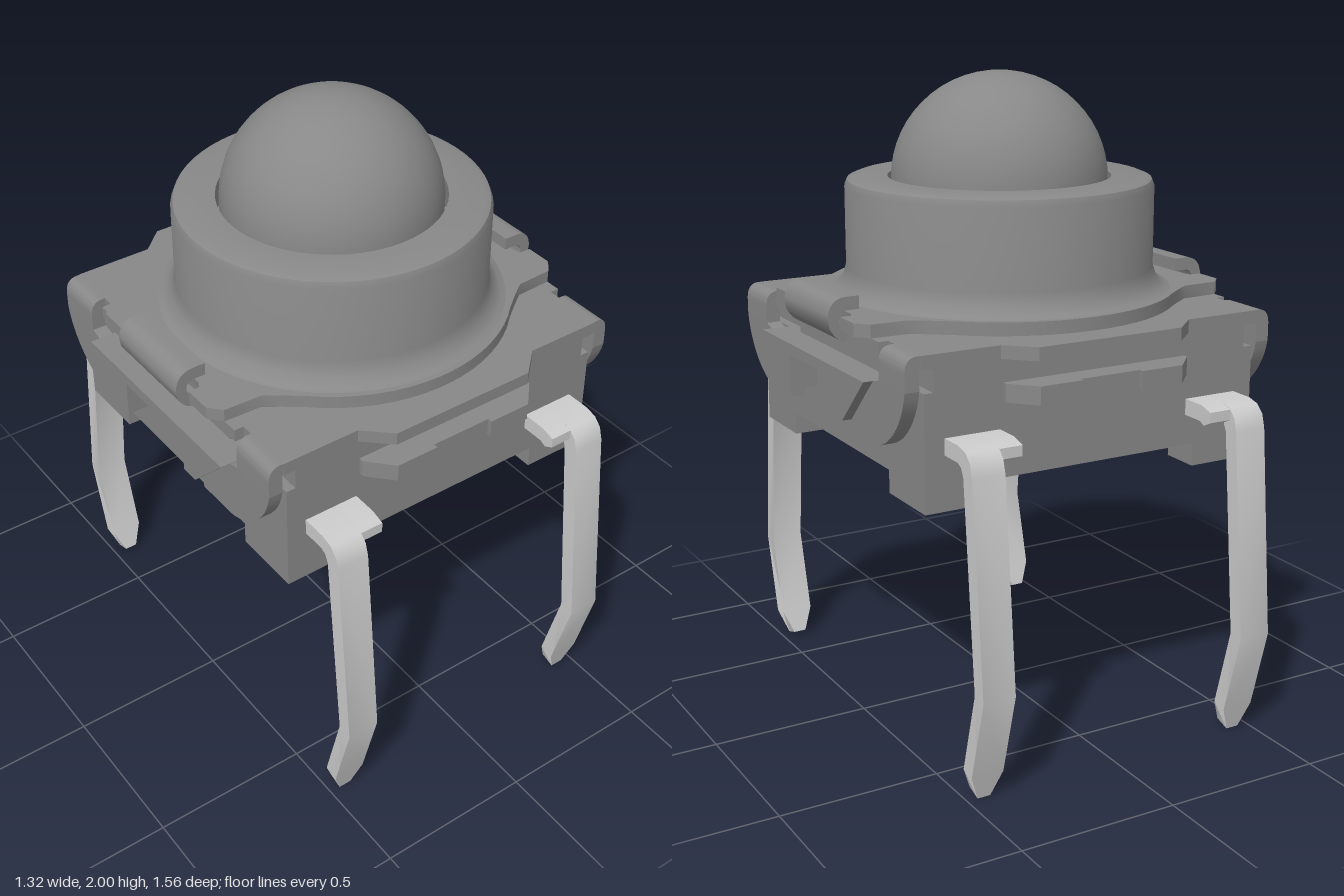
import * as THREE from 'three';
import { toCreasedNormals } from 'three/addons/utils/BufferGeometryUtils.js';

const metal = new THREE.MeshStandardMaterial({ color: 0xcccccc });
const dark = new THREE.MeshStandardMaterial({ color: 0x888888 });

const polygon = (pts) => new THREE.Shape(pts.map(([a, b]) => new THREE.Vector2(a, b)));

function prism(shape, depth) {
  return new THREE.ExtrudeGeometry(shape, { depth, bevelEnabled: false, curveSegments: 12 });
}
// Outline in (x, z), thickness from y0 to y1
function slab(shape, y0, y1) {
  return prism(shape, y1 - y0).rotateX(Math.PI / 2).translate(0, y1, 0);
}
// Outline in (z, y), thickness from x0 to x1
function sideways(shape, x0, x1) {
  return prism(shape, x1 - x0).rotateY(-Math.PI / 2).translate(x1, 0, 0);
}
function box(x0, x1, y0, y1, z0, z1) {
  return new THREE.BoxGeometry(x1 - x0, y1 - y0, z1 - z0)
    .translate((x0 + x1) / 2, (y0 + y1) / 2, (z0 + z1) / 2);
}
// Reflected copy that keeps faces pointing outwards
function reflect(geo, sx, sz) {
  const g = geo.index ? geo.toNonIndexed() : geo.clone();
  g.scale(sx, 1, sz);
  if (sx * sz < 0) {
    const p = g.attributes.position;
    const a = new THREE.Vector3(), b = new THREE.Vector3();
    for (let i = 0; i < p.count; i += 3) {
      a.fromBufferAttribute(p, i + 1);
      b.fromBufferAttribute(p, i + 2);
      p.setXYZ(i + 1, b.x, b.y, b.z);
      p.setXYZ(i + 2, a.x, a.y, a.z);
    }
  }
  return g;
}
// Outline made from one quadrant, mirrored into all four
function fourfold(q) {
  const back = [...q].reverse();
  return polygon([
    ...q, ...back.map(([x, z]) => [-x, z]),
    ...q.map(([x, z]) => [-x, -z]), ...back.map(([x, z]) => [x, -z]),
  ]);
}

export function createModel() {
  const model = new THREE.Group();
  const add = (name, geo, mat = dark) => {
    const mesh = new THREE.Mesh(toCreasedNormals(geo, 0.6), mat);
    mesh.name = name;
    model.add(mesh);
  };
  const addSides = (name, geo) => [1, -1].forEach((s) => add(name, reflect(geo, s, 1)));
  const addEnds = (name, geo) => [1, -1].forEach((s) => add(name, reflect(geo, 1, s)));
  const addCorners = (name, geo, mat) => {
    for (const sx of [1, -1]) for (const sz of [1, -1]) add(name, reflect(geo, sx, sz), mat);
  };

  // Housing, narrower under the cover to leave the side slots
  add('housing', box(-0.56, 0.56, 0.91, 1.19, -0.565, 0.565));
  add('upperHousing', box(-0.53, 0.53, 1.19, 1.26, -0.565, 0.565));
  addSides('slotDivider', box(0.53, 0.56, 1.19, 1.26, -0.28, 0.28));
  addCorners('foot', slab(polygon(
    [[0.35, 0.565], [0.56, 0.565], [0.56, 0.34], [0.45, 0.34], [0.35, 0.44]]), 0.84, 0.91));

  // Ledges on the front and back
  addEnds('ledge', slab(polygon([[-0.31, 0.56], [-0.31, 0.58], [-0.24, 0.655], [-0.1, 0.655],
    [-0.1, 0.64], [0.1, 0.64], [0.1, 0.655], [0.24, 0.655], [0.31, 0.58], [0.31, 0.56]]), 1.135, 1.19));

  // Side catches with a square notch below
  addSides('sideCatch', sideways(polygon([[0.37, 1.19], [0.22, 1.04], [0.16, 1.04], [0.16, 1.155],
    [-0.16, 1.155], [-0.16, 1.04], [-0.22, 1.04], [-0.37, 1.19]]), 0.55, 0.65));

  // Cover plate with chamfered front and back tabs
  add('coverPlate', slab(fourfold([[0.57, 0.39], [0.57, 0.57], [0.32, 0.57], [0.24, 0.645]]), 1.26, 1.3));
  addSides('coverBridge', box(0.56, 0.6, 1.26, 1.3, -0.37, 0.37));

  // Rounded cover shoulders and the curved flaps hanging from them
  const shoulder = new THREE.Shape();
  shoulder.moveTo(0.56, 1.3);
  shoulder.lineTo(0.58, 1.3);
  shoulder.quadraticCurveTo(0.62, 1.3, 0.62, 1.25);
  shoulder.lineTo(0.62, 1.2);
  shoulder.lineTo(0.575, 1.2);
  shoulder.lineTo(0.575, 1.26);
  shoulder.lineTo(0.56, 1.26);
  addCorners('coverShoulder', prism(shoulder, 0.16).translate(0, 0, 0.408));
  const flap = new THREE.Shape();
  flap.moveTo(0.568, 1.2);
  flap.bezierCurveTo(0.55, 1.1, 0.46, 1.01, 0.36, 1.0);
  flap.lineTo(0.22, 1.0);
  flap.lineTo(0.22, 1.04);
  flap.lineTo(0.37, 1.19);
  flap.lineTo(0.408, 1.2);
  addCorners('coverFlap', sideways(flap, 0.575, 0.62));

  // Clips that curl over the retaining plate
  const clip = new THREE.Shape();
  clip.moveTo(0.56, 1.26);
  clip.lineTo(0.615, 1.26);
  clip.quadraticCurveTo(0.635, 1.265, 0.655, 1.3);
  clip.lineTo(0.66, 1.33);
  clip.quadraticCurveTo(0.655, 1.39, 0.6, 1.39);
  clip.lineTo(0.56, 1.39);
  clip.lineTo(0.56, 1.35);
  clip.lineTo(0.6, 1.35);
  clip.quadraticCurveTo(0.625, 1.35, 0.625, 1.32);
  clip.lineTo(0.615, 1.3);
  clip.lineTo(0.56, 1.3);
  addSides('clip', prism(clip, 0.32).translate(0, 0, -0.16));

  // Retaining plate: a disc with two notched ears
  const rim = [[0.59, 0.17], [0.6, 0.19], [0.635, 0.19], [0.635, 0.28], [0.6, 0.32],
    [0.48, 0.325], [0.43, 0.36]];
  for (let i = 0; i <= 8; i++) {
    const a = THREE.MathUtils.lerp(0.82, Math.PI / 2 - 0.03, i / 8);
    rim.push([0.55 * Math.cos(a), 0.55 * Math.sin(a)]);
  }
  add('retainingPlate', slab(fourfold(rim), 1.3, 1.34));

  // Collar with a flared foot and an open, rounded top
  const collar = [[0.55, 1.3], [0.55, 1.335], [0.515, 1.345], [0.49, 1.37], [0.478, 1.41],
    [0.478, 1.655], [0.47, 1.675], [0.45, 1.683], [0.345, 1.683], [0.345, 1.6], [0.3, 1.6]];
  add('collar', new THREE.LatheGeometry(collar.map(([r, y]) => new THREE.Vector2(r, y)), 64));

  // Domed plunger
  const dome = [new THREE.Vector2(0.334, 1.6)];
  for (let i = 0; i <= 14; i++) {
    const a = (i / 14) * Math.PI / 2;
    dome.push(new THREE.Vector2(0.335 * Math.cos(a), 1.67 + 0.33 * Math.sin(a)));
  }
  add('plunger', new THREE.LatheGeometry(dome, 48));

  // Bent pins with tapered tips, and the wider tabs they leave the housing from
  const pin = sideways(polygon([[0.55, 1.055], [0.645, 1.055], [0.685, 1.045], [0.71, 1.02],
    [0.722, 0.98], [0.782, 0.34], [0.712, 0.08], [0.69, 0], [0.642, 0.015], [0.664, 0.09],
    [0.732, 0.345], [0.672, 0.97], [0.66, 0.995], [0.64, 1.005], [0.55, 1.005]]), 0.393, 0.497);
  const p = pin.attributes.position;
  for (let i = 0; i < p.count; i++) {
    if (p.getY(i) < 0.05) p.setX(i, 0.445 + (p.getX(i) - 0.445) * 0.4);
  }
  addCorners('pin', pin, metal);
  addCorners('pinTab', sideways(polygon([[0.55, 1.055], [0.645, 1.055], [0.69, 1.042],
    [0.69, 1.01], [0.66, 0.995], [0.64, 1.005], [0.55, 1.005]]), 0.32, 0.393), metal);

  return model;
}
